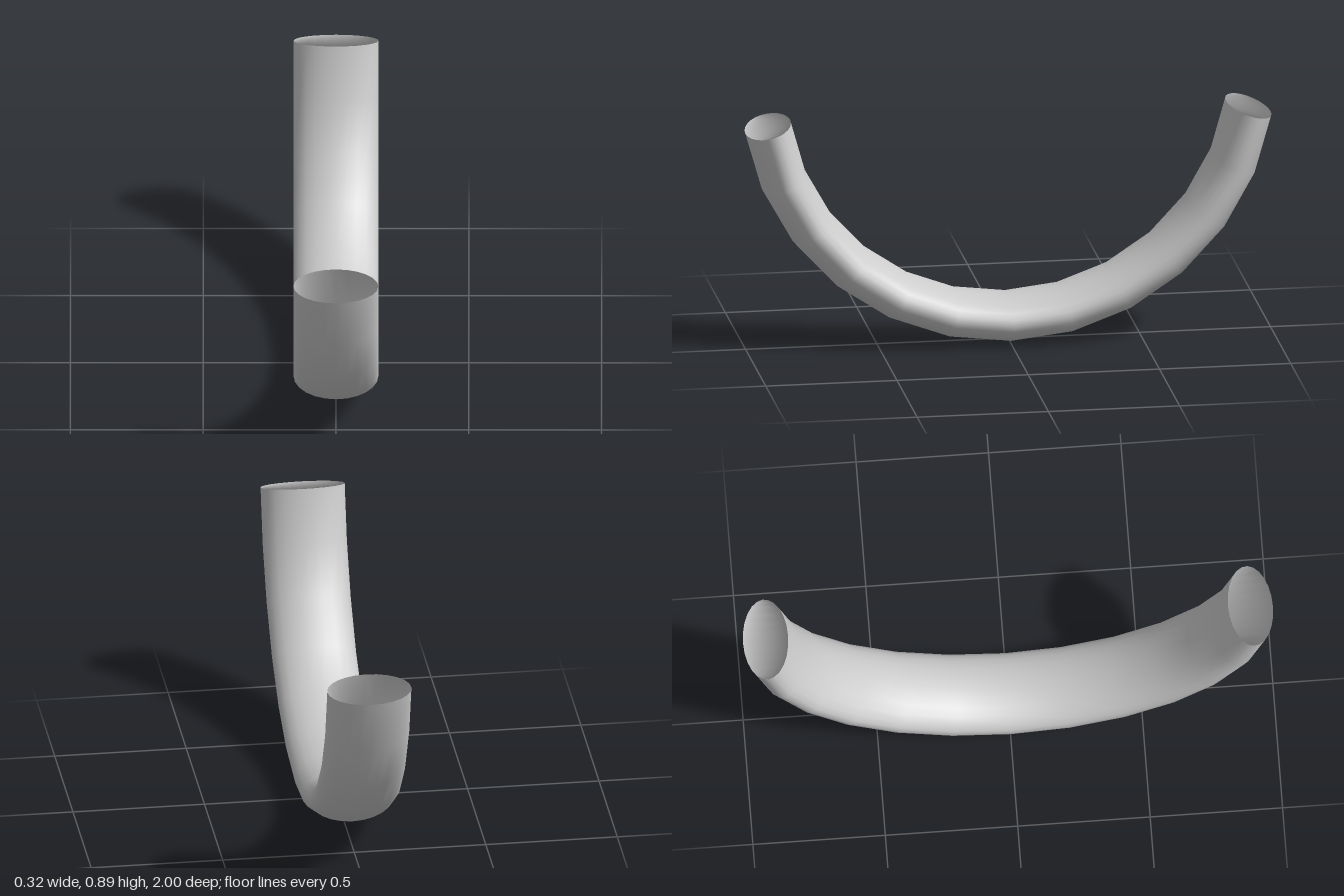
import * as THREE from 'three';

const R = 0.927;            // radius of the arc's centre line
const HALF_WIDTH = 0.16;    // oval cross-section, along x
const HALF_DEPTH = 0.0885;  // oval cross-section, across the arc
const STEP = THREE.MathUtils.degToRad(13.49);
const HALF_RINGS = 6;
const SIDES = 24;

// Oval rings swept along a circular arc, closed by a cap at each end
function curvedBarGeometry() {
  const positions = [], index = [];
  for (let k = -HALF_RINGS; k <= HALF_RINGS; k++) {
    const angle = k * STEP;
    // End rings are square to their last straight segment
    const tilt = Math.abs(k) === HALF_RINGS ? angle - Math.sign(k) * STEP / 2 : angle;
    const cy = HALF_DEPTH + R * (1 - Math.cos(angle)), cz = R * Math.sin(angle);
    for (let i = 0; i < SIDES; i++) {
      const t = i / SIDES * Math.PI * 2;
      const out = HALF_DEPTH * Math.sin(t);
      positions.push(HALF_WIDTH * Math.cos(t), cy - out * Math.cos(tilt), cz + out * Math.sin(tilt));
    }
  }

  // Wall
  for (let k = 0; k < HALF_RINGS * 2; k++) {
    for (let i = 0; i < SIDES; i++) {
      const a = k * SIDES + i, b = k * SIDES + (i + 1) % SIDES;
      index.push(a, a + SIDES, b, b, a + SIDES, b + SIDES);
    }
  }
  const geometry = new THREE.BufferGeometry();
  geometry.setAttribute('position', new THREE.Float32BufferAttribute(positions, 3));
  geometry.setIndex(index);
  geometry.computeVertexNormals();

  // End caps: strips across the oval, sharing the wall's smooth normals
  const last = HALF_RINGS * 2 * SIDES;
  for (let i = 0; i < SIDES / 2; i++) {
    const a = i, b = i + 1, c = SIDES - i - 1, d = (SIDES - i) % SIDES;
    for (const [p, q, r] of [[a, b, c], [a, c, d]]) {
      if (p === q || q === r || p === r) continue;
      index.push(p, q, r, last + p, last + r, last + q);
    }
  }
  geometry.setIndex(index);
  return geometry;
}

export function createModel() {
  const group = new THREE.Group();
  group.name = 'curvedHandle';
  const bar = new THREE.Mesh(curvedBarGeometry(), new THREE.MeshStandardMaterial({ color: 0xcccccc }));
  bar.name = 'curvedBar';
  group.add(bar);
  return group;
}
